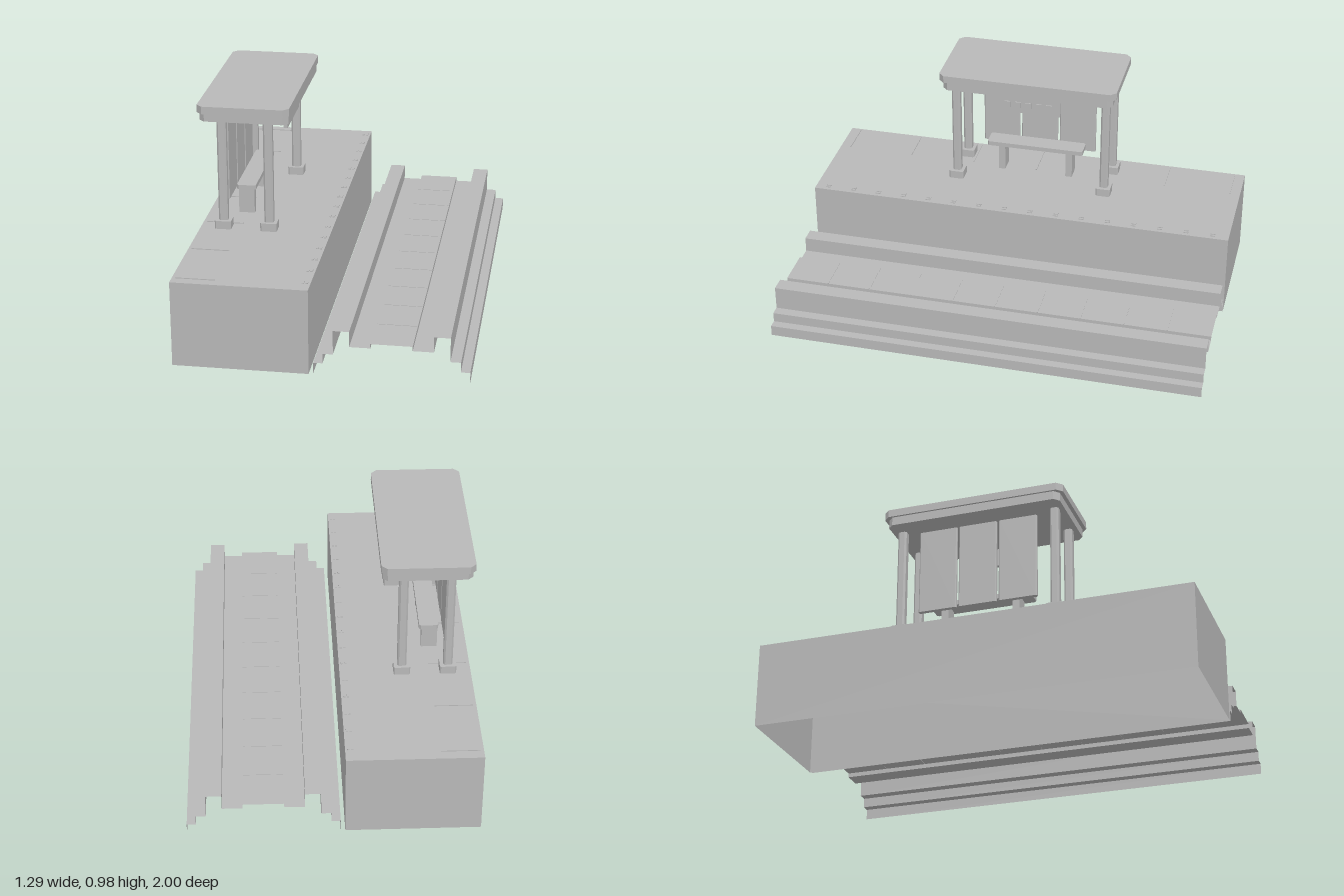
import * as THREE from 'three';

export function createModel() {
  const model = new THREE.Group();
  const grey = new THREE.MeshStandardMaterial({ color: 0xb8b8b8, side: THREE.DoubleSide });
  grey.name = 'concreteGrey';

  const add = (name, geometry, material = grey) => {
    const mesh = new THREE.Mesh(geometry, material);
    mesh.name = name;
    model.add(mesh);
    return mesh;
  };

  // Plain box given by its limits on each axis
  const box = (name, x0, x1, y0, y1, z0, z1) =>
    add(name, new THREE.BoxGeometry(x1 - x0, y1 - y0, z1 - z0))
      .position.set((x0 + x1) / 2, (y0 + y1) / 2, (z0 + z1) / 2);

  // Upright block with cut corners, c being the size of the cut
  const chamferBlock = (name, x, z, w, d, y0, y1, c) => {
    const a = w / 2, b = d / 2;
    const outline = [
      [a, -b + c], [a, b - c], [a - c, b], [-a + c, b],
      [-a, b - c], [-a, -b + c], [-a + c, -b], [a - c, -b],
    ].map(([px, py]) => new THREE.Vector2(px, py));
    const g = new THREE.ExtrudeGeometry(new THREE.Shape(outline), { depth: y1 - y0, bevelEnabled: false });
    g.rotateX(-Math.PI / 2);
    add(name, g).position.set(x, y0, z);
  };

  // Platform: a box shell without an underside
  const shell = new THREE.BoxGeometry(0.595, 0.39, 2);
  shell.groups = shell.groups.filter((g) => g.materialIndex !== 3);
  add('platform', shell, Array(6).fill(grey)).position.set(-0.3475, 0.195, 0);

  // Thin joints across the paving
  for (let i = 0; i < 7; i++) {
    const z = -0.95 + i * 0.317;
    box('pavingJoint', -0.63, -0.46, 0.389, 0.394, z - 0.003, z + 0.003);
  }

  // Paired edge markers along the track side
  for (let i = 0; i < 16; i++) {
    const z = -0.925 + i * 0.124;
    for (const x of [-0.08, -0.064])
      box('edgeMarker', x - 0.005, x + 0.005, 0.396, 0.4, z - 0.011, z + 0.011);
  }

  // Guideway: stepped open sheet, half section mirrored about its middle
  const middle = 0.305;
  const half = [
    [0.335, 0.005], [0.335, 0.055], [0.295, 0.055], [0.295, 0.1], [0.25, 0.1],
    [0.25, 0.21], [0.18, 0.21], [0.18, 0.14], [0.09, 0.14], [0.09, 0.16],
  ];
  const section = [
    ...half.map(([x, y]) => [middle - x, y]),
    ...half.slice().reverse().map(([x, y]) => [middle + x, y]),
  ];
  const corners = [];
  for (let i = 0; i < section.length - 1; i++) {
    const [ax, ay] = section[i], [bx, by] = section[i + 1];
    corners.push(ax, ay, 1, bx, by, 1, bx, by, -1, ax, ay, 1, bx, by, -1, ax, ay, -1);
  }
  const sheet = new THREE.BufferGeometry();
  sheet.setAttribute('position', new THREE.Float32BufferAttribute(corners, 3));
  sheet.computeVertexNormals();
  add('guideway', sheet);

  // Slab joints on the raised middle of the guideway
  for (let i = 0; i < 9; i++) {
    const z = -0.8 + i * 0.2;
    box('slabJoint', 0.217, 0.393, 0.159, 0.162, z - 0.003, z + 0.003);
  }

  // Shelter columns on footings
  for (const x of [-0.541, -0.332]) {
    for (const z of [-0.361, 0.361]) {
      chamferBlock('columnFooting', x, z, 0.075, 0.07, 0.39, 0.428, 0.006);
      chamferBlock('column', x, z, 0.042, 0.04, 0.428, 0.91, 0.008);
    }
  }

  // Two-tier roof
  chamferBlock('roofFascia', -0.435, 0, 0.4, 0.81, 0.905, 0.945, 0.024);
  chamferBlock('roofSlab', -0.4365, 0, 0.415, 0.845, 0.945, 0.98, 0.026);

  // Rear wall panels
  for (const z of [-0.188, 0, 0.188])
    chamferBlock('wallPanel', -0.541, z, 0.02, 0.178, 0.49, 0.89, 0.005);

  // Bench
  chamferBlock('benchSeat', -0.4625, 0, 0.088, 0.47, 0.524, 0.545, 0.008);
  for (const z of [-0.166, 0.166])
    box('benchLeg', -0.508, -0.435, 0.39, 0.524, z - 0.016, z + 0.016);

  // Hanging board with a row of plain blocks
  box('hangingBoard', -0.3, -0.281, 0.803, 0.887, -0.153, 0.153);
  for (let i = -2; i <= 2; i++)
    box('boardBlock', -0.281, -0.275, 0.83, 0.86, i * 0.05 - 0.014, i * 0.05 + 0.014);

  return model;
}
